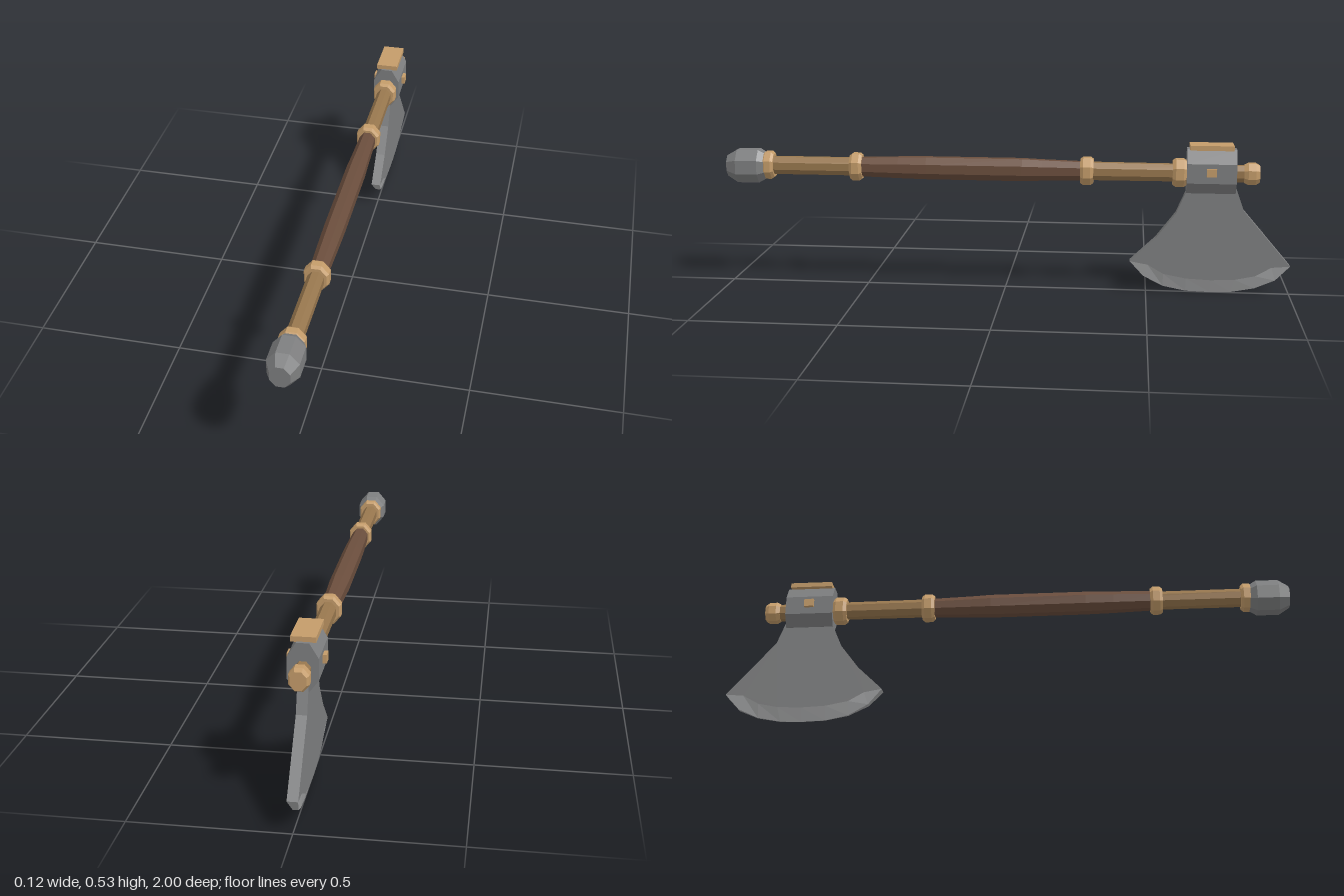
import * as THREE from 'three';

const mat = (name, color) =>
  new THREE.MeshStandardMaterial({ name, color, flatShading: true });

export function createModel() {
  const steel = mat('steel', 0x7e7f80);
  const edgeSteel = mat('edge steel', 0xa6a7a8);
  const brass = mat('pale brass', 0xc49c6a);
  const wood = mat('wood', 0x98774e);
  const leather = mat('leather', 0x6b4e3d);

  const axe = new THREE.Group();
  axe.name = 'axe';
  const AXIS = 0.429; // height of the shaft

  const add = (name, geometry, material, x = 0, y = 0, z = 0) => {
    const mesh = new THREE.Mesh(geometry, material);
    mesh.name = name;
    mesh.position.set(x, y, z);
    axe.add(mesh);
    return mesh;
  };

  // Eight-sided part along z; profile is [half height, z] with z ascending
  const turned = (name, profile, material, y = AXIS) => {
    const pts = profile.map(([r, z]) => new THREE.Vector2(r / Math.cos(Math.PI / 8), z));
    const geo = new THREE.LatheGeometry(pts, 8, Math.PI / 8);
    geo.rotateX(Math.PI / 2);
    geo.scale(0.85, 1, 1);
    return add(name, geo, material, 0, y, 0);
  };

  // Shaft, grip and pommel
  turned('shaft', [[0, -0.84], [0.029, -0.84], [0.031, -0.3], [0.031, 0.87], [0, 0.87]], wood);
  turned('grip', [[0.032, -0.28], [0.036, -0.13], [0.039, -0.06], [0.039, 0.28],
    [0.037, 0.38], [0.033, 0.52]], leather);
  turned('pommel', [[0, 0.85], [0.045, 0.86], [0.059, 0.885], [0.059, 0.962],
    [0.037, 1], [0, 1]], steel, 0.426);

  // Collars along the shaft
  [[0.85, 0.02], [0.532, 0.022], [-0.286, 0.023], [-0.608, 0.025]].forEach(([z, h], i) =>
    turned(`collar${i + 1}`, [[0.03, z - h], [0.041, z - h], [0.048, z - h * 0.55],
      [0.048, z + h * 0.55], [0.041, z + h], [0.03, z + h]], brass));
  turned('endCap', [[0, -0.882], [0.029, -0.882], [0.037, -0.868], [0.037, -0.842],
    [0.03, -0.828], [0, -0.828]], brass);

  // Socket that holds the blade
  const half = [[0.02, 0.515], [0.048, 0.468], [0.048, 0.4], [0.018, 0.36]];
  const outline = [...half, ...half.map(([x, y]) => [-x, y]).reverse()];
  const toShape = (pts) => new THREE.Shape(pts.map(([x, y]) => new THREE.Vector2(x, y)));
  add('socket', new THREE.ExtrudeGeometry(toShape(outline),
    { depth: 0.17, bevelEnabled: false }), steel, 0, 0, -0.801);

  // Top plate and side pins
  add('topPlate', new THREE.BoxGeometry(0.077, 0.017, 0.15), brass, 0, 0.522, -0.715);
  for (const side of [-1, 1])
    add(side > 0 ? 'leftPin' : 'rightPin',
      new THREE.BoxGeometry(0.024, 0.028, 0.034), brass, side * 0.048, 0.439, -0.715);

  // Blade, drawn as [distance towards the back, height]
  const T = 0.017;
  const inner = [[0.442, 0.11], [0.505, 0.099], [0.56, 0.067], [0.64, 0.052], [0.726, 0.048],
    [0.81, 0.052], [0.88, 0.067], [0.935, 0.099], [0.999, 0.105]];
  const edge = [[0.442, 0.11], [0.49, 0.056], [0.56, 0.019], [0.64, 0.003], [0.726, 0],
    [0.8, 0.003], [0.88, 0.019], [0.95, 0.051], [0.999, 0.105]];
  const neck = [[0.832, 0.3], [0.803, 0.38], [0.632, 0.38], [0.632, 0.365],
    [0.598, 0.285], [0.53, 0.195]];
  const body = new THREE.ExtrudeGeometry(toShape([...inner, ...neck]),
    { depth: 2 * T, bevelEnabled: false });
  body.translate(0, 0, -T);
  body.rotateY(Math.PI / 2);
  add('blade', body, steel);

  // Sharpened rim: full thickness at the tips, thinning towards the bottom
  const pos = [];
  const quad = (a, b, c, d) => pos.push(...a, ...b, ...c, ...a, ...c, ...d);
  const thin = ([u, y], s) => [u, y, s * Math.min(T, T * y / 0.105 + 0.0005)];
  const thick = ([u, y], s) => [u, y, s * T];
  for (let i = 0; i < edge.length - 1; i++) {
    const [e0, e1, n0, n1] = [edge[i], edge[i + 1], inner[i], inner[i + 1]];
    quad(thick(n0, 1), thin(e0, 1), thin(e1, 1), thick(n1, 1));
    quad(thick(n1, -1), thin(e1, -1), thin(e0, -1), thick(n0, -1));
    quad(thin(e0, -1), thin(e1, -1), thin(e1, 1), thin(e0, 1));
  }
  const rim = new THREE.BufferGeometry();
  rim.setAttribute('position', new THREE.Float32BufferAttribute(pos, 3));
  rim.rotateY(Math.PI / 2);
  rim.computeVertexNormals();
  add('cuttingEdge', rim, edgeSteel);

  return axe;
}
